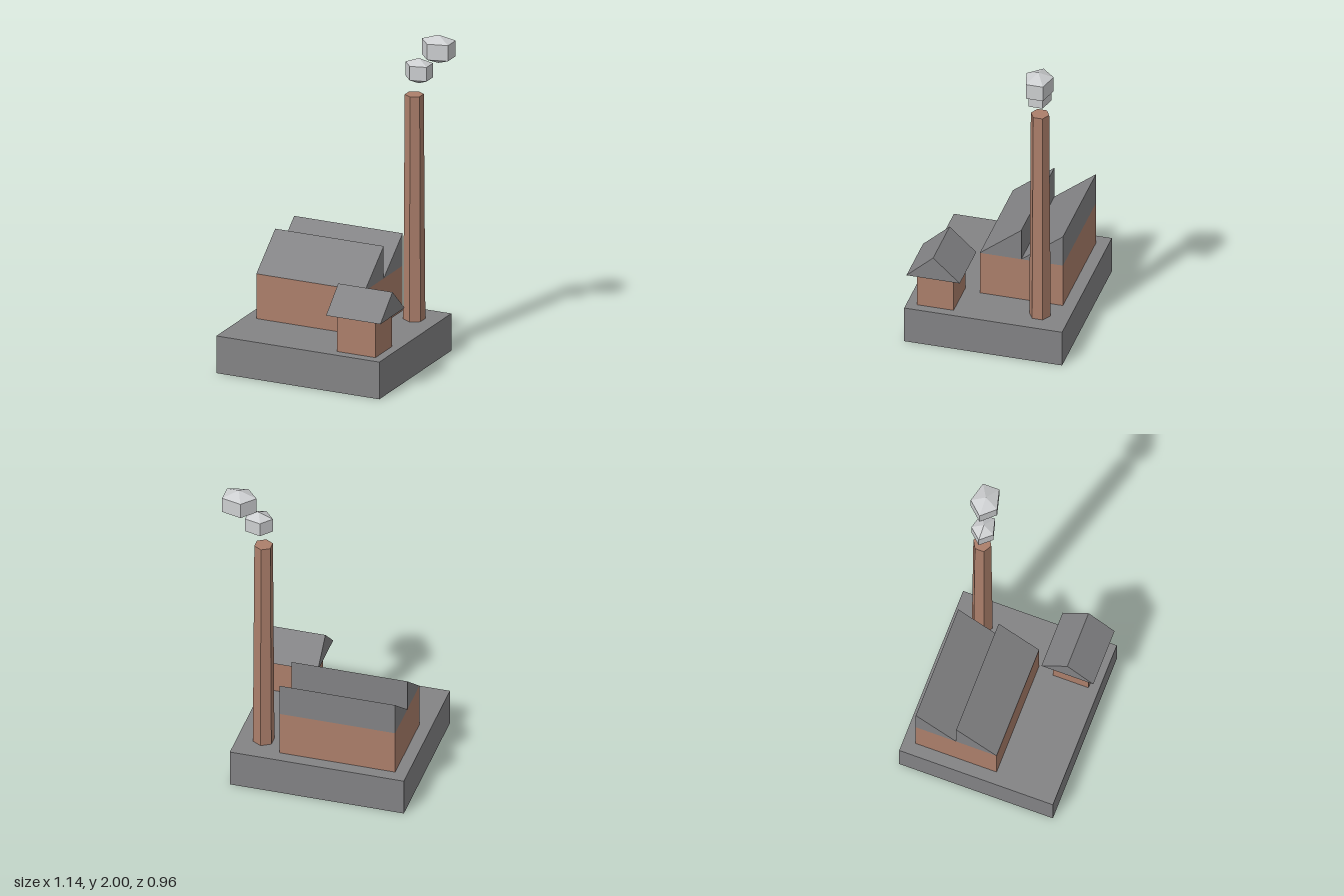
import * as THREE from 'three';

export function createModel() {
  const model = new THREE.Group();
  model.name = 'factory';
  const mat = (name, color) => {
    const m = new THREE.MeshStandardMaterial({ color, flatShading: true });
    m.name = name;
    return m;
  };
  const grey = mat('slateGrey', 0x838385);
  const brick = mat('brickBrown', 0xac7f6b);
  const smoke = mat('smokeGrey', 0xcdcfd1);

  const add = (name, geometry, material, x = 0, y = 0, z = 0) => {
    const mesh = new THREE.Mesh(geometry, material);
    mesh.name = name;
    mesh.position.set(x, y, z);
    model.add(mesh);
    return mesh;
  };

  // Box given by its limits on each axis
  const block = (name, material, [x0, x1], [y0, y1], [z0, z1]) =>
    add(name, new THREE.BoxGeometry(x1 - x0, y1 - y0, z1 - z0), material,
      (x0 + x1) / 2, (y0 + y1) / 2, (z0 + z1) / 2);

  // Roof prism: a [z, y] profile extruded along x
  const prism = (name, material, [x0, x1], profile) => {
    const shape = new THREE.Shape(profile.map(([z, y]) => new THREE.Vector2(-z, y)));
    const geometry = new THREE.ExtrudeGeometry(shape, { depth: x1 - x0, bevelEnabled: false });
    geometry.rotateY(Math.PI / 2);
    return add(name, geometry, material, x0);
  };

  // Ground slab
  block('base', grey, [-0.57, 0.49], [0, 0.23], [-0.48, 0.48]);

  // Main hall with two sawtooth roof bays
  const hallX = [-0.495, 0.21];
  block('hallWalls', brick, hallX, [0.23, 0.507], [-0.405, 0.1]);
  [[0.1, -0.152], [-0.152, -0.405]].forEach(([front, back], i) =>
    prism(`sawtoothRoof${i + 1}`, grey, hallX, [[front, 0.507], [back, 0.507], [back, 0.707]]));

  // Small hut with an overhanging gable roof
  block('hutWalls', brick, [0.185, 0.435], [0.23, 0.46], [0.195, 0.418]);
  prism('hutRoof', grey, [0.137, 0.49], [[0.466, 0.46], [0.142, 0.46], [0.304, 0.608]]);

  // Tapered six-sided chimney
  add('chimney', new THREE.CylinderGeometry(0.056, 0.065, 1.39, 6), brick, 0.336, 0.925, -0.302);

  // Five-sided smoke puffs, stretched sideways
  const puff = (name, [x, y, z], rx, ry, rz) => {
    const profile = [[0, -1], [1, -0.56], [1, 0.56], [0, 1]].map(([r, h]) => new THREE.Vector2(r, h));
    const geometry = new THREE.LatheGeometry(profile, 5, -Math.PI / 2);
    geometry.scale(rx, ry, rz);
    add(name, geometry, smoke, x, y, z);
  };
  puff('lowerSmokePuff', [0.366, 1.77, -0.303], 0.087, 0.078, 0.072);
  puff('upperSmokePuff', [0.478, 1.913, -0.333], 0.108, 0.087, 0.087);

  return model;
}
